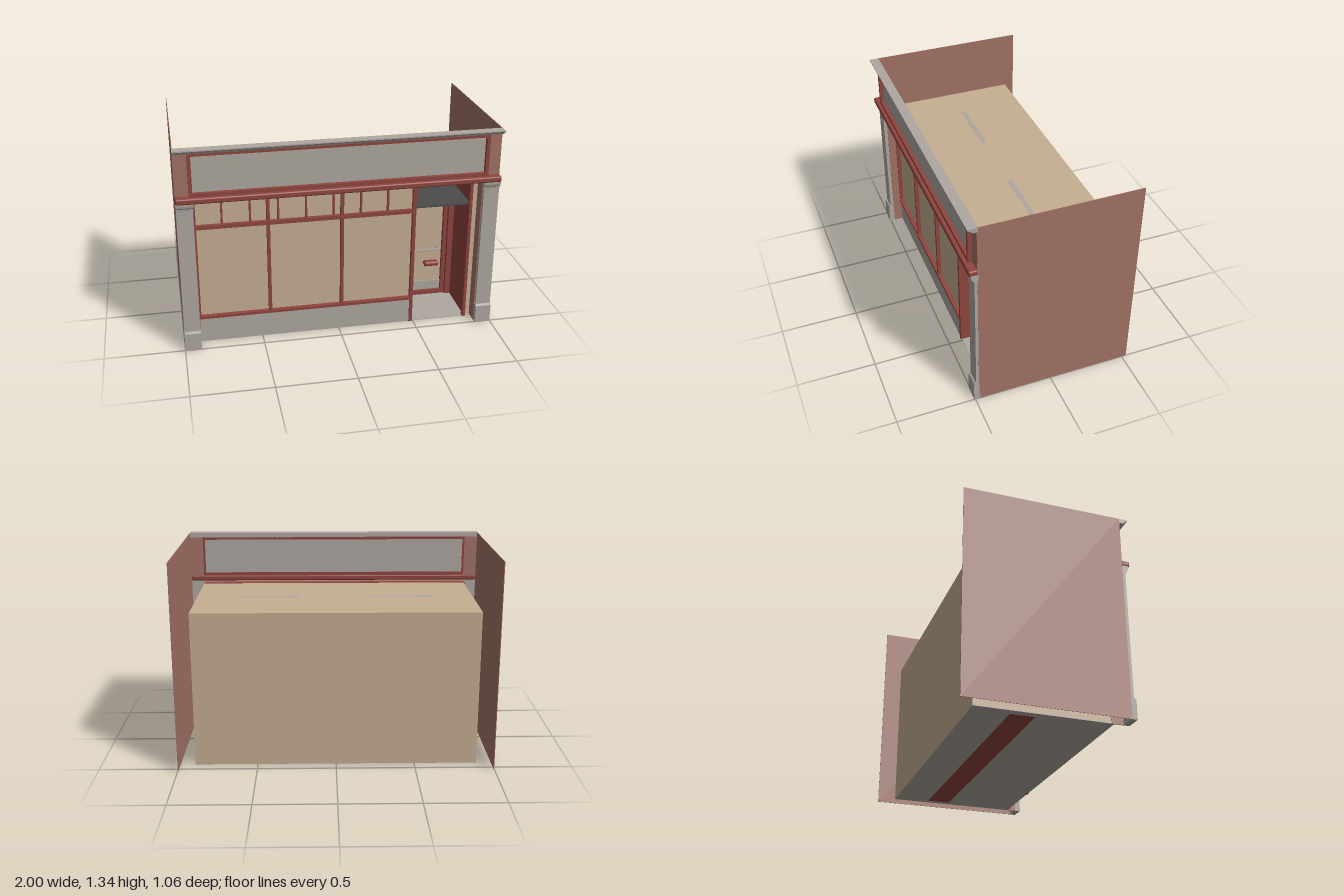
import * as THREE from 'three';
import { RoundedBoxGeometry } from 'three/addons/geometries/RoundedBoxGeometry.js';

const mat = (name, color) => {
  const m = new THREE.MeshStandardMaterial({ color, side: THREE.DoubleSide });
  m.name = name;
  return m;
};

export function createModel() {
  const model = new THREE.Group();
  model.name = 'shopfront';
  const cream = mat('cream', 0xc6ae92);
  const grey = mat('stone grey', 0xafa8a1);
  const brick = mat('brick', 0xa27265);
  const red = mat('painted red', 0x8f453e);
  const dark = mat('dark grey', 0x4c4c4c);

  const add = (name, geometry, material, parent = model) => {
    const mesh = new THREE.Mesh(geometry, material);
    mesh.name = name;
    parent.add(mesh);
    return mesh;
  };
  // box given by its limits on each axis
  const box = (name, m, x0, x1, y0, y1, z0, z1, parent) => {
    const mesh = add(name, new THREE.BoxGeometry(x1 - x0, y1 - y0, z1 - z0), m, parent);
    mesh.position.set((x0 + x1) / 2, (y0 + y1) / 2, (z0 + z1) / 2);
    return mesh;
  };
  const rounded = (name, m, w, h, d, r, x, y, z, parent) => {
    const mesh = add(name, new RoundedBoxGeometry(w, h, d, 3, r), m, parent);
    mesh.position.set(x, y, z);
    return mesh;
  };
  // moulding: a (z, y) profile run along x
  const moulding = (name, m, x0, x1, points, parent) => {
    const shape = new THREE.Shape(points.map(([z, y]) => new THREE.Vector2(-z, y)));
    const g = new THREE.ExtrudeGeometry(shape, { depth: x1 - x0, bevelEnabled: false });
    g.rotateY(Math.PI / 2);
    g.translate(x0, 0, 0);
    return add(name, g, m, parent);
  };
  const group = (name) => {
    const g = new THREE.Group();
    g.name = name;
    model.add(g);
    return g;
  };

  // shop room with a recess for the entrance
  const room = group('room');
  box('mainRoom', cream, -0.9, 0.478, 0.004, 1, -0.43, 0.392, room);
  box('roomBehindDoor', cream, 0.478, 0.865, 0.004, 1, -0.43, 0.06, room);
  box('roomSideStrip', cream, 0.865, 0.9, 0.004, 1, -0.43, 0.392, room);
  box('roofOverEntrance', cream, 0.478, 0.865, 0.985, 1, 0.06, 0.392, room);
  box('floor', grey, -0.9, 0.9, 0, 0.004, -0.43, 0.41, room);
  box('floorStrip', red, -0.855, 0.855, -0.001, 0.001, -0.2, -0.05, room);
  for (const s of [-1, 1]) {
    box('ceilingLight', grey, s * 0.44 - 0.21, s * 0.44 + 0.21, 0.998, 1.001, -0.035, -0.005, room);
  }

  // party walls, pilasters and returns, mirrored
  for (const s of [-1, 1]) {
    const side = group(s > 0 ? 'leftSide' : 'rightSide');
    const mx = (a, b) => (s > 0 ? [a, b] : [-b, -a]);
    box('sideWall', brick, ...mx(0.996, 1), 0, 1.335, -0.53, 0.475, side);
    box('return', brick, ...mx(0.896, 0.902), 0, 1, 0.392, 0.47, side);
    box('fasciaEnd', brick, ...mx(0.91, 0.998), 1.03, 1.306, 0.468, 0.476, side);
    box('pilasterShaft', grey, ...mx(0.9, 0.999), 0.1, 0.97, 0.47, 0.493, side);
    moulding('pilasterBase', grey, ...mx(0.897, 1), [
      [0.468, 0], [0.507, 0], [0.507, 0.118], [0.5, 0.13], [0.468, 0.13]], side);
    moulding('pilasterCapital', grey, ...mx(0.895, 1), [
      [0.468, 0.945], [0.496, 0.945], [0.498, 0.962], [0.51, 0.972],
      [0.513, 0.985], [0.513, 1], [0.468, 1]], side);
  }

  // fascia, ledge and cornice
  const fascia = group('fascia');
  box('signPanel', grey, -0.9, 0.9, 1.04, 1.3, 0.472, 0.478, fascia);
  box('fasciaTopRail', red, -0.918, 0.918, 1.289, 1.307, 0.47, 0.502, fascia);
  box('fasciaBottomRail', red, -0.918, 0.918, 1.035, 1.058, 0.47, 0.502, fascia);
  for (const s of [-1, 1]) {
    box('fasciaStile', red, s * 0.907 - 0.011, s * 0.907 + 0.011, 1.035, 1.307, 0.47, 0.502, fascia);
  }
  rounded('ledge', red, 2, 0.037, 0.055, 0.01, 0, 1.017, 0.4985, fascia);
  box('soffit', brick, -0.9, 0.9, 0.99, 1, 0.41, 0.474, fascia);
  moulding('cornice', grey, -1, 1, [
    [0.47, 1.305], [0.502, 1.305], [0.508, 1.315], [0.522, 1.322],
    [0.53, 1.328], [0.53, 1.335], [0.47, 1.335]], fascia);

  // shop window
  const win = group('shopWindow');
  box('stallRiser', grey, -0.9, 0.475, 0, 0.168, 0.39, 0.41, win);
  box('sill', red, -0.9, 0.478, 0.166, 0.184, 0.388, 0.42, win);
  box('transomBar', red, -0.9, 0.478, 0.783, 0.808, 0.388, 0.417, win);
  box('headBar', red, -0.908, 0.9, 0.974, 1.002, 0.38, 0.42, win);
  for (const x of [-0.895, -0.445, 0.018]) {
    box('mullion', red, x - 0.01, x + 0.01, 0.17, 0.98, 0.388, 0.417, win);
  }
  for (let i = 1; i < 8; i++) {
    const x = -0.9 + i * 0.173;
    box('smallMullion', red, x - 0.006, x + 0.006, 0.8, 0.98, 0.388, 0.408, win);
  }

  // entrance recess
  const entrance = group('entrance');
  box('recessWallRight', red, 0.476, 0.492, 0.004, 0.985, 0.06, 0.4, entrance);
  box('recessWallLeft', red, 0.852, 0.866, 0.004, 0.985, 0.06, 0.4, entrance);
  box('cornerPost', red, 0.47, 0.492, 0, 0.985, 0.39, 0.417, entrance);
  box('cornerPost', red, 0.84, 0.86, 0, 0.985, 0.39, 0.417, entrance);
  box('porchCeiling', dark, 0.492, 0.852, 0.808, 0.818, 0.06, 0.4, entrance);

  // door
  const door = group('door');
  box('doorJamb', red, 0.492, 0.522, 0.004, 0.808, 0.06, 0.1, door);
  box('doorJamb', red, 0.815, 0.852, 0.004, 0.808, 0.06, 0.1, door);
  box('doorHead', red, 0.492, 0.852, 0.785, 0.808, 0.06, 0.1, door);
  box('doorStile', red, 0.52, 0.545, 0.004, 0.785, 0.06, 0.085, door);
  box('doorStile', red, 0.786, 0.812, 0.004, 0.785, 0.06, 0.085, door);
  box('doorTopRail', red, 0.54, 0.79, 0.765, 0.785, 0.06, 0.085, door);
  box('doorBottomRail', red, 0.54, 0.79, 0.004, 0.035, 0.06, 0.085, door);
  box('kickPlate', grey, 0.545, 0.786, 0.035, 0.1, 0.06, 0.068, door);
  box('pushBar', grey, 0.565, 0.765, 0.349, 0.361, 0.1, 0.112, door);
  for (const x of [0.575, 0.755]) {
    box('barBracket', grey, x - 0.004, x + 0.004, 0.351, 0.359, 0.06, 0.102, door);
  }
  rounded('letterPlate', red, 0.1, 0.032, 0.05, 0.012, 0.712, 0.243, 0.08, door);
  rounded('sideHandle', red, 0.062, 0.032, 0.04, 0.012, 0.52, 0.243, 0.11, door);
  box('sideCatch', grey, 0.858, 0.88, 0.349, 0.361, 0.4, 0.412, door);

  return model;
}
